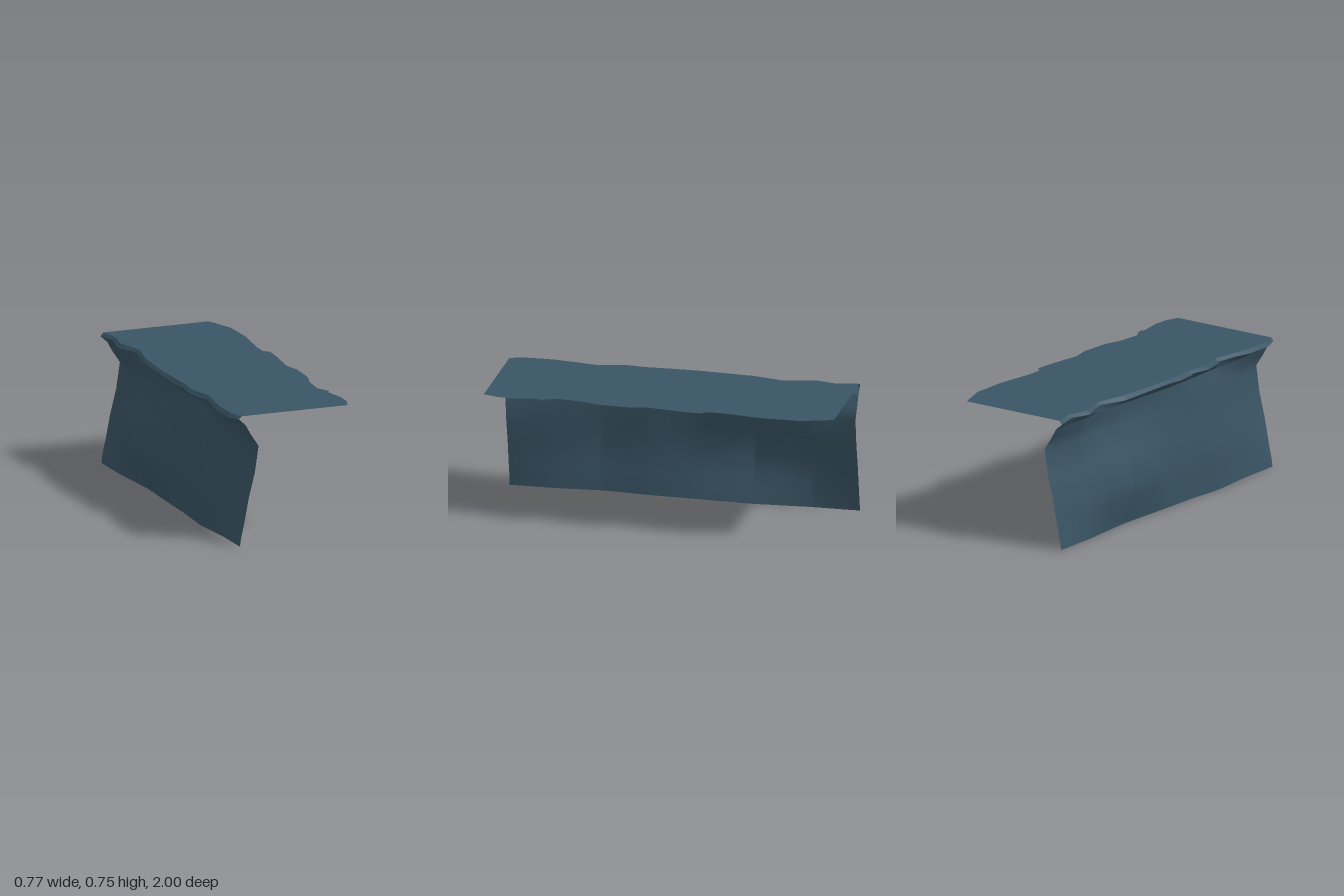
import * as THREE from 'three';

// Plateau edges as [z, x] pairs, back to front
const CLIFF_EDGE = [[-1, -0.315], [-0.87, -0.29], [-0.75, -0.32], [-0.65, -0.29], [-0.57, -0.275],
  [-0.4, -0.315], [-0.1, -0.335], [0.1, -0.335], [0.22, -0.33], [0.35, -0.342], [0.5, -0.305],
  [0.62, -0.325], [0.75, -0.343], [0.92, -0.342], [1, -0.315]];
const FAR_EDGE = [[-1, 0.325], [-0.82, 0.383], [-0.6, 0.383], [-0.37, 0.35], [-0.28, 0.35],
  [-0.25, 0.38], [-0.13, 0.372], [0.07, 0.345], [0.17, 0.367], [0.35, 0.357], [0.45, 0.325],
  [0.59, 0.312], [0.67, 0.35], [0.7, 0.335], [0.83, 0.357], [0.92, 0.353], [1, 0.325]];

// Rock face: x at each height (rows) and depth (columns)
const WALL_Z = [-1, -0.72, -0.38, 0, 0.2, 0.47, 0.75, 1];
const WALL = [
  [0,     [-0.325, -0.325, -0.305, -0.32, -0.325, -0.345, -0.325, -0.325]],
  [0.04,  [-0.32, -0.327, -0.315, -0.324, -0.328, -0.347, -0.325, -0.32]],
  [0.145, [-0.297, -0.333, -0.352, -0.335, -0.335, -0.352, -0.323, -0.297]],
  [0.27,  [-0.273, -0.335, -0.385, -0.35, -0.345, -0.366, -0.32, -0.273]],
  [0.42,  [-0.235, -0.29, -0.34, -0.335, -0.328, -0.335, -0.29, -0.235]],
  [0.57,  [-0.213, -0.26, -0.285, -0.32, -0.325, -0.335, -0.28, -0.213]],
  [0.64,  [-0.26, -0.28, -0.285, -0.315, -0.32, -0.315, -0.295, -0.26]],
  [0.695, [-0.29, -0.295, -0.295, -0.32, -0.32, -0.31, -0.315, -0.29]],
];

// Linear lookup in a list of [z, x] pairs
function sample(pairs, z) {
  const i = Math.max(1, pairs.findIndex(p => p[0] >= z));
  const [z0, x0] = pairs[i - 1], [z1, x1] = pairs[i];
  return x0 + (x1 - x0) * (z - z0) / (z1 - z0);
}

// Surface facing -x through rows of [x, y, z] points
function surface(rows) {
  const n = rows[0].length, index = [];
  for (let i = 0; i < rows.length - 1; i++) {
    for (let j = 0; j < n - 1; j++) {
      const a = i * n + j, c = a + n;
      index.push(a, a + 1, c, a + 1, c + 1, c);
    }
  }
  const g = new THREE.BufferGeometry();
  g.setAttribute('position', new THREE.Float32BufferAttribute(rows.flat(2), 3));
  g.setIndex(index);
  g.computeVertexNormals();
  return g;
}

export function createModel() {
  const group = new THREE.Group();
  const slate = new THREE.MeshStandardMaterial({ color: 0x3a5565, side: THREE.DoubleSide });
  slate.name = 'slate blue';
  const add = (name, geometry) => {
    const mesh = new THREE.Mesh(geometry, slate);
    mesh.name = name;
    group.add(mesh);
    return mesh;
  };

  // Rock face
  const zs = [...new Set([...WALL_Z, ...CLIFF_EDGE.map(p => p[0])])].sort((a, b) => a - b);
  const wallRows = WALL.map(([y, xs]) => {
    const pairs = xs.map((x, k) => [WALL_Z[k], x]);
    return zs.map(z => [sample(pairs, z), y, z]);
  });
  add('rockFace', surface(wallRows));

  // Overhanging rim below the plateau: sloped underside, then a narrow face
  const crevice = wallRows[wallRows.length - 1];
  const lip = zs.map((z, k) => [sample(CLIFF_EDGE, z) - 0.016, 0.729 + 0.005 * Math.sin(k * 1.7), z]);
  const edge = zs.map(z => [sample(CLIFF_EDGE, z), 0.75, z]);
  add('rimUnderside', surface([crevice, lip]));
  add('rimFace', surface([lip, edge]));

  // Flat plateau with ragged sides
  const outline = [...CLIFF_EDGE, ...[...FAR_EDGE].reverse()].map(([z, x]) => new THREE.Vector2(x, -z));
  const top = new THREE.ShapeGeometry(new THREE.Shape(outline));
  top.rotateX(-Math.PI / 2);
  add('plateau', top).position.y = 0.75;

  return group;
}
